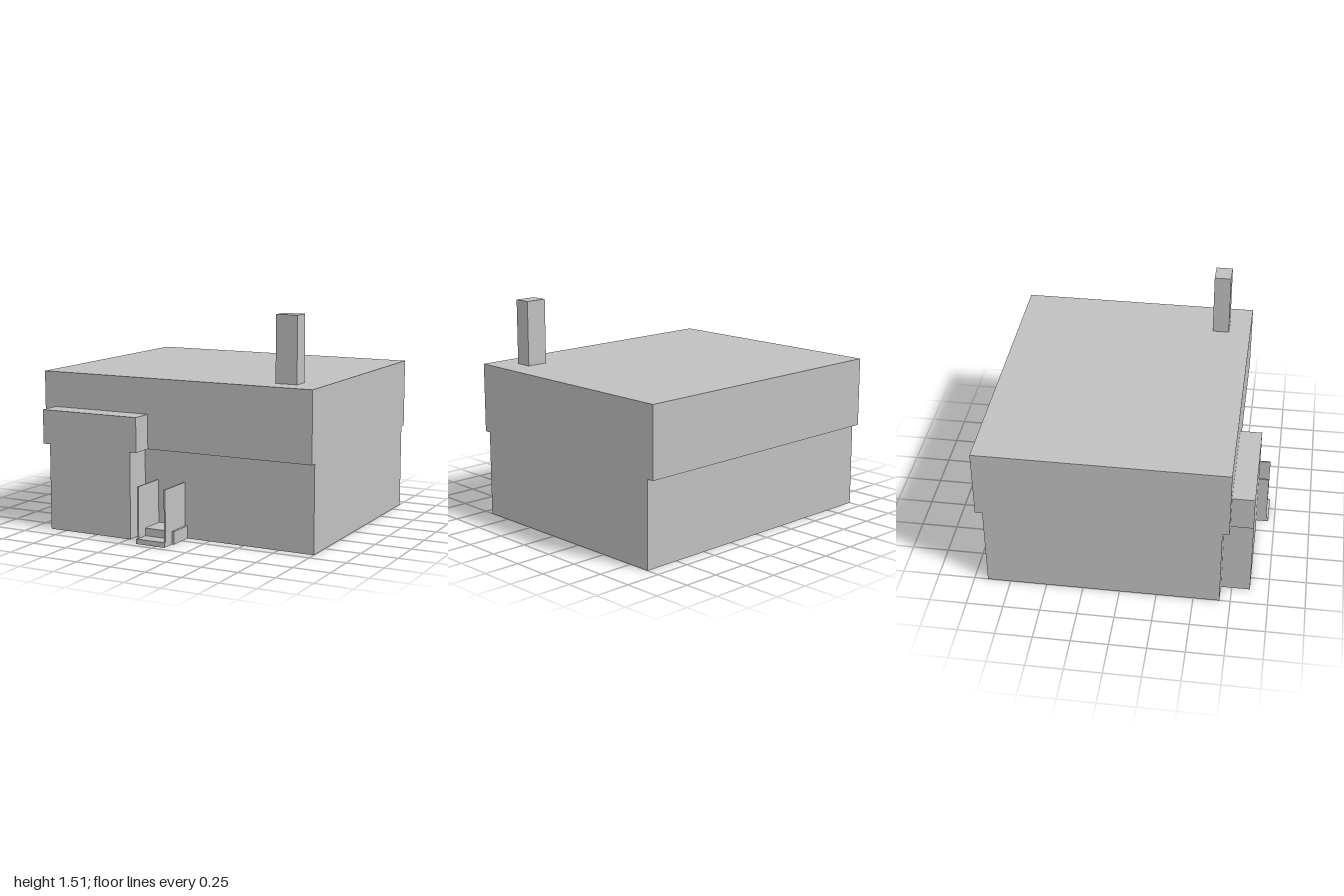
import * as THREE from 'three';

export function createModel() {
  const house = new THREE.Group();
  house.name = 'house';
  const grey = new THREE.MeshStandardMaterial({ color: 0xc0c0c0 });
  grey.name = 'plain grey';

  // Box given by its extents along each axis
  function block(name, [x0, x1], [y0, y1], [z0, z1]) {
    const mesh = new THREE.Mesh(new THREE.BoxGeometry(x1 - x0, y1 - y0, z1 - z0), grey);
    mesh.position.set((x0 + x1) / 2, (y0 + y1) / 2, (z0 + z1) / 2);
    mesh.name = name;
    house.add(mesh);
  }

  const floorY = 0.588, roofY = 1.064, wallZ = 0.677, upperZ = 0.722;

  // Main storeys, the upper one overhanging front and back
  block('lowerStorey', [-1, 1], [0, floorY], [-0.908, wallZ]);
  block('upperStorey', [-1, 1], [floorY, roofY], [-0.957, upperZ]);
  block('chimney', [0.674, 0.824], [roofY, 1.507], [0.45, 0.567]);

  // Projecting bay with a wider head
  block('bayBase', [-0.866, -0.235], [0, floorY], [wallZ, 0.873]);
  block('bayHead', [-0.918, -0.187], [floorY, 0.822], [upperZ, 0.873]);

  // Entrance steps between two thin side panels
  block('upperStep', [-0.159, 0.086], [0, 0.086], [wallZ, 0.857]);
  block('lowerStep', [-0.142, 0.07], [0, 0.034], [0.857, 0.957]);
  for (const [name, x] of [['rightStepPanel', -0.142], ['leftStepPanel', 0.059]]) {
    block(name, [x, x + 0.011], [0.034, 0.38], [0.68, 0.942]);
  }

  return house;
}
